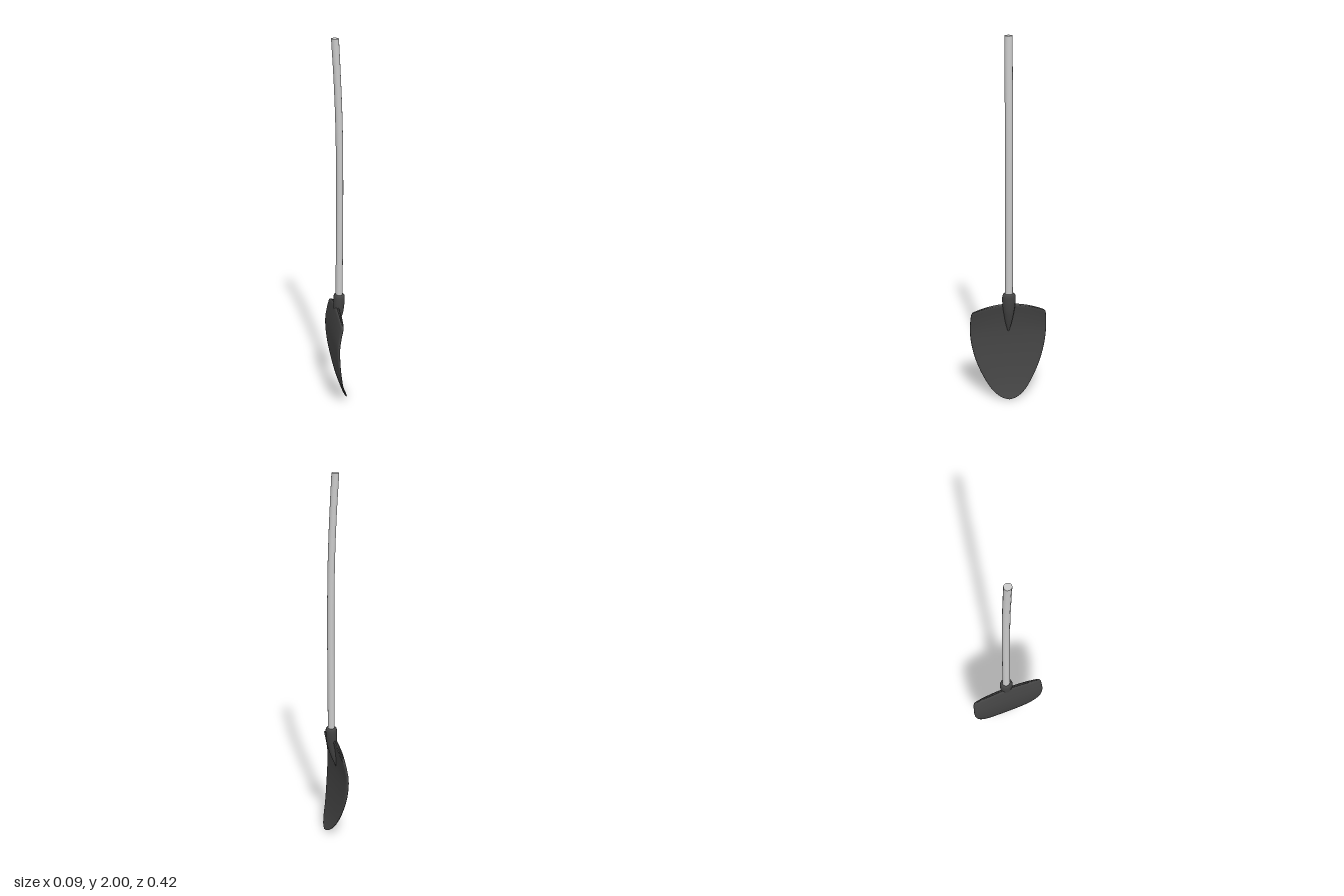
import * as THREE from 'three';

const darkSteel = new THREE.MeshStandardMaterial({ color: 0x444444 });
const grey = new THREE.MeshStandardMaterial({ color: 0xcccccc });

// Lofts closed cross-sections upwards. Each row is [y, centreX, halfDepthX, halfWidthZ].
// power < 1 flattens the section's faces; droop(y) lowers a section's outer sides.
function loft(rows, { steps = 30, sides = 16, power = 1, droop = () => 0 } = {}) {
  const path = new THREE.CatmullRomCurve3(rows.map(([y, c, , rz]) => new THREE.Vector3(c, y, rz)));
  const pos = [];
  const index = [];
  for (let j = 0; j <= steps; j++) {
    const t = j / steps;
    const p = path.getPoint(t);
    const k = Math.min(Math.floor(t * (rows.length - 1)), rows.length - 2);
    const rx = THREE.MathUtils.lerp(rows[k][2], rows[k + 1][2], t * (rows.length - 1) - k);
    for (let i = 0; i < sides; i++) {
      const a = (i / sides) * Math.PI * 2;
      const cos = Math.cos(a);
      const sin = Math.sin(a);
      pos.push(
        p.x + rx * Math.sign(cos) * Math.abs(cos) ** power,
        p.y - droop(p.y) * sin * sin,
        p.z * sin
      );
    }
  }
  for (let j = 0; j < steps; j++) {
    for (let i = 0; i < sides; i++) {
      const a = j * sides + i;
      const b = j * sides + ((i + 1) % sides);
      index.push(a, a + sides, b, b, a + sides, b + sides);
    }
  }
  // End caps on their own vertices, so the rims stay sharp
  for (const [row, top] of [[0, false], [steps, true]]) {
    const start = pos.length / 3;
    pos.push(...pos.slice(row * sides * 3, (row + 1) * sides * 3));
    const end = rows[top ? rows.length - 1 : 0];
    pos.push(end[1], end[0], 0);
    for (let i = 0; i < sides; i++) {
      const a = start + i;
      const b = start + ((i + 1) % sides);
      index.push(start + sides, top ? b : a, top ? a : b);
    }
  }
  const geometry = new THREE.BufferGeometry();
  geometry.setAttribute('position', new THREE.Float32BufferAttribute(pos, 3));
  geometry.setIndex(index);
  geometry.computeVertexNormals();
  return geometry;
}

export function createModel() {
  const model = new THREE.Group();
  const add = (name, geometry, material) => {
    const mesh = new THREE.Mesh(geometry, material);
    mesh.name = name;
    model.add(mesh);
  };

  // Long handle, bending backwards near the top
  add('handle', loft([
    [0.56, 0.003, 0.019, 0.021],
    [0.8, 0.004, 0.019, 0.021],
    [1.1, 0.006, 0.019, 0.021],
    [1.4, 0.005, 0.019, 0.021],
    [1.6, 0.001, 0.019, 0.021],
    [1.8, -0.007, 0.019, 0.021],
    [2.0, -0.018, 0.02, 0.021],
  ], { steps: 24, sides: 12 }), grey);

  // Pointed blade: dished along its length, with a rounded shoulder
  add('blade', loft([
    [0, 0.043, 0.002, 0.006],
    [0.01, 0.038, 0.003, 0.04],
    [0.04, 0.024, 0.005, 0.083],
    [0.1, 0.003, 0.008, 0.127],
    [0.2, -0.018, 0.01, 0.174],
    [0.3, -0.031, 0.012, 0.201],
    [0.4, -0.033, 0.012, 0.21],
    [0.48, -0.024, 0.012, 0.208],
    [0.53, -0.014, 0.012, 0.203],
    [0.54, -0.012, 0.01, 0.198],
    [0.545, -0.011, 0.004, 0.19],
  ], {
    steps: 50,
    sides: 40,
    power: 0.45,
    droop: (y) => 0.04 * THREE.MathUtils.smoothstep(y, 0.3, 0.54),
  }), darkSteel);

  // Socket gripping the handle and tapering to a point on the blade's face
  add('socket', loft([
    [0.38, -0.023, 0.002, 0.003],
    [0.42, -0.016, 0.013, 0.014],
    [0.46, -0.009, 0.021, 0.022],
    [0.51, -0.001, 0.027, 0.03],
    [0.56, 0.002, 0.031, 0.036],
    [0.595, 0.003, 0.031, 0.036],
    [0.608, 0.003, 0.028, 0.032],
    [0.612, 0.003, 0.023, 0.026],
  ], { steps: 28, sides: 12 }), darkSteel);

  return model;
}
